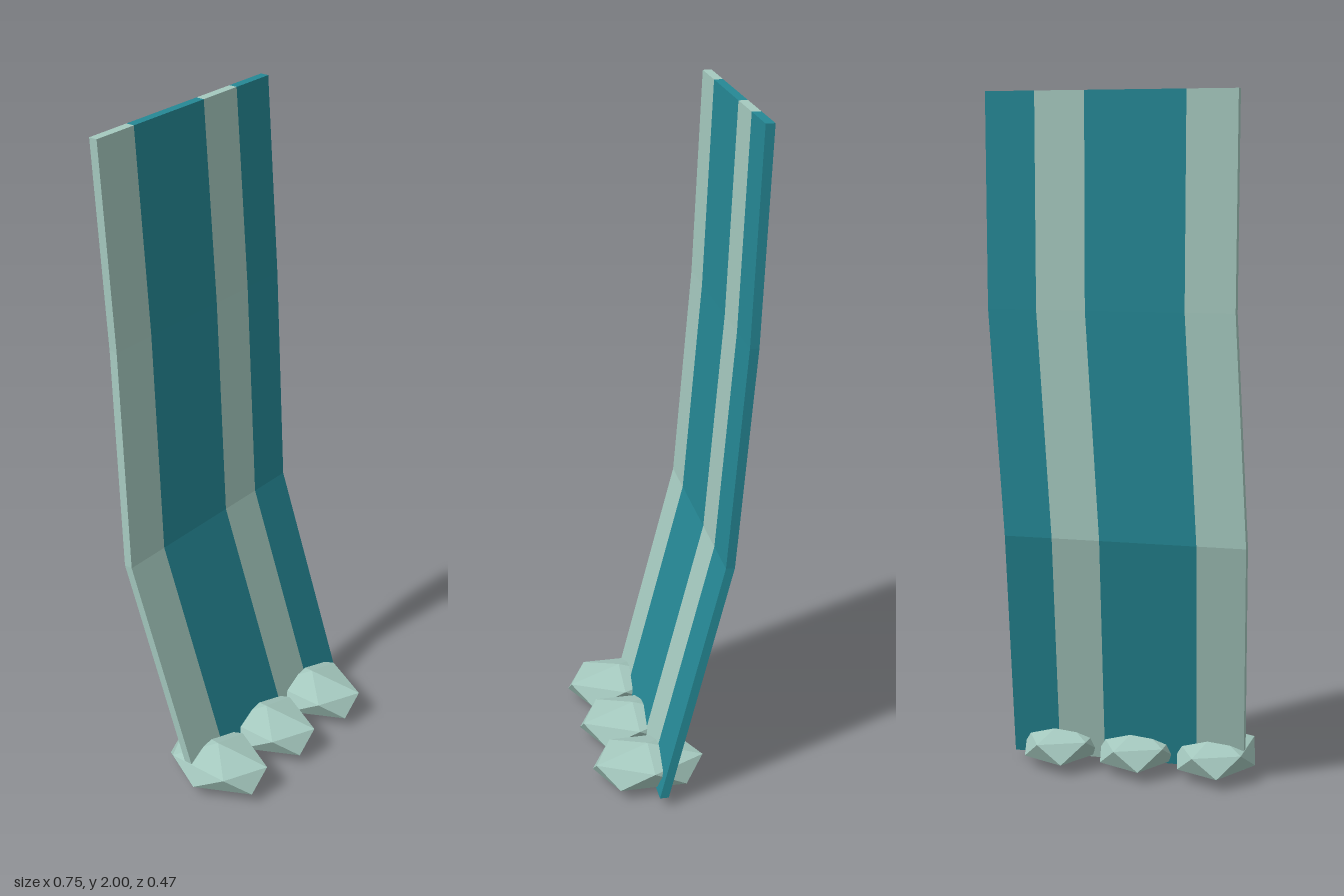
import * as THREE from 'three';
import { ConvexGeometry } from 'three/addons/geometries/ConvexGeometry.js';

// Bends of the falling water, top to bottom: height, sideways shift, depth
const BENDS = [
  [2.0, 0, -0.223],
  [1.4, 0.01, -0.192],
  [0.74, -0.015, -0.143],
  [0.03, 0.027, 0.054],
];
const STRIP_WIDTH = 0.1425;
const STRIP_DEPTH = 0.026;

// One strip: a segmented box whose rows follow the bends
function stripGeometry(x) {
  const rows = BENDS.length - 1;
  const geo = new THREE.BoxGeometry(STRIP_WIDTH, rows, STRIP_DEPTH, 1, rows, 1);
  const pos = geo.attributes.position;
  for (let i = 0; i < pos.count; i++) {
    const [y, dx, dz] = BENDS[Math.round(rows / 2 - pos.getY(i))];
    pos.setXYZ(i, pos.getX(i) + x + dx, y, pos.getZ(i) + dz);
  }
  geo.computeVertexNormals();
  return geo;
}

// Foam: twenty-sided ball with a point on top, two staggered rings of five
function foamGeometry() {
  const points = [new THREE.Vector3(0, 1, 0), new THREE.Vector3(0, -1, 0)];
  for (let i = 0; i < 5; i++) {
    const a = (i * Math.PI * 2) / 5;
    const c = Math.cos(a) * 0.894, s = Math.sin(a) * 0.894;
    points.push(new THREE.Vector3(c, 0.447, s), new THREE.Vector3(-c, -0.447, s));
  }
  return new ConvexGeometry(points).scale(0.133, 0.064, 0.188);
}

export function createModel() {
  const model = new THREE.Group();
  model.name = 'waterfall';

  const water = new THREE.MeshStandardMaterial({ color: 0x258895, flatShading: true });
  water.name = 'deepWater';
  const foam = new THREE.MeshStandardMaterial({ color: 0xa5c9bf, flatShading: true });
  foam.name = 'paleFoam';

  // Five strips side by side
  [foam, water, water, foam, water].forEach((material, i) => {
    const x = -0.008 + (i - 2) * STRIP_WIDTH;
    const strip = new THREE.Mesh(stripGeometry(x), material);
    strip.name = `waterStrip${i + 1}`;
    model.add(strip);
  });

  // Three foam balls at the foot
  const ball = foamGeometry();
  for (let i = 0; i < 3; i++) {
    const mesh = new THREE.Mesh(ball, foam);
    mesh.name = `foamBall${i + 1}`;
    mesh.position.set(-0.246 + i * 0.237, 0.065, 0.075);
    model.add(mesh);
  }
  return model;
}
